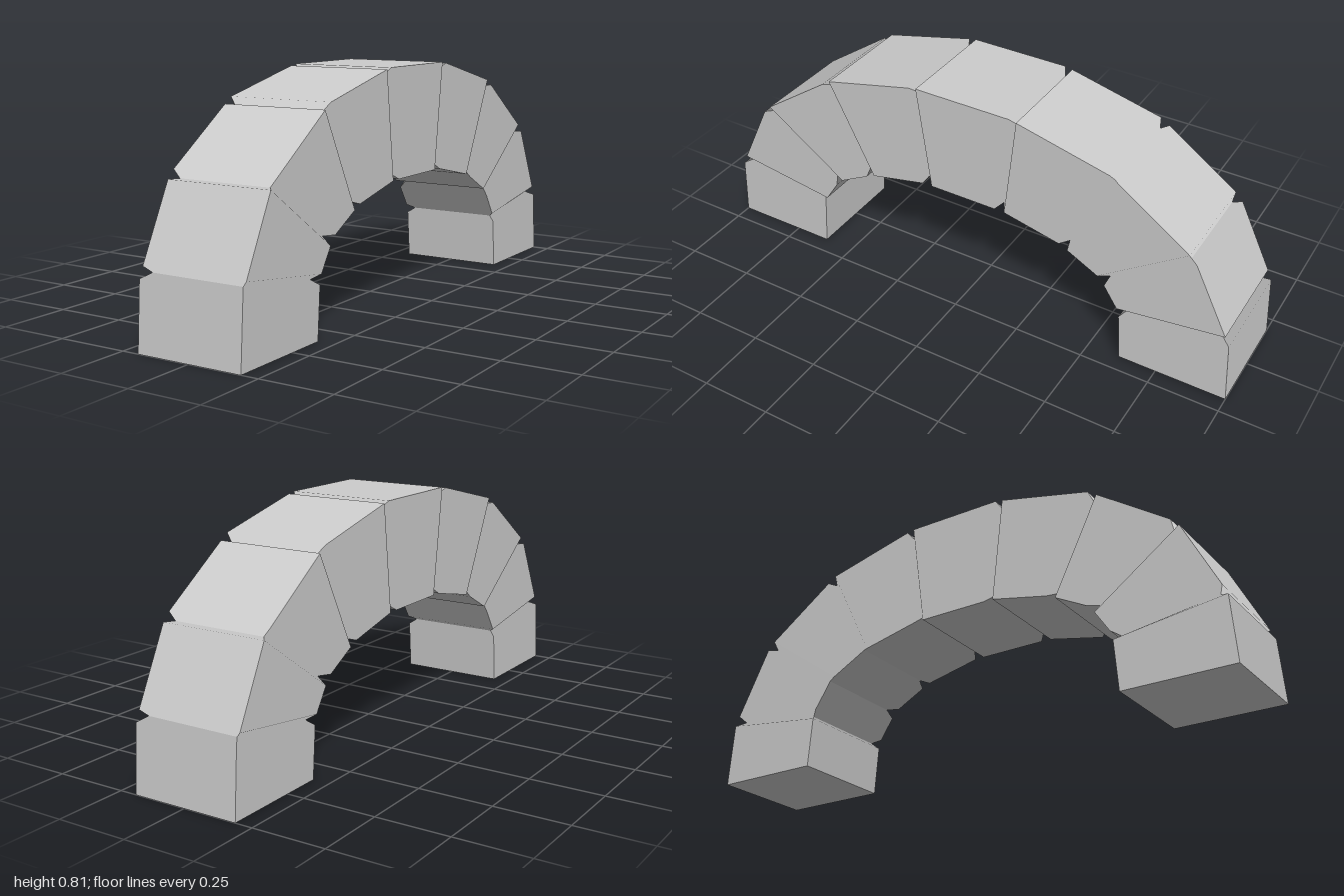
import * as THREE from 'three';

const W = 0.19, GROOVE_W = 0.167; // half widths at the stone faces and in the grooves

// A cross-section of the arch: outer (z, y), inner (z, y), half width
const ring = (oz, oy, iz, iy, w = W) => ({ oz, oy, iz, iy, w });
const flip = (r) => ({ ...r, oz: -r.oz, iz: -r.iz });

// Each joint: rim of the stone before, groove bottom, rim of the stone after
const joint = (before, groove, after) => ({ before: ring(...before), groove: ring(...groove, GROOVE_W), after: ring(...after) });
const foot = { before: ring(1, 0, 0.615, 0), after: ring(1, 0, 0.615, 0) };
const half = [
  foot,
  joint([0.985, 0.225, 0.602, 0.175], [0.953, 0.24, 0.62, 0.192], [0.969, 0.26, 0.593, 0.207]),
  joint([0.848, 0.502, 0.542, 0.285], [0.82, 0.503, 0.553, 0.315], [0.821, 0.53, 0.515, 0.315]),
  joint([0.567, 0.706, 0.402, 0.375], [0.545, 0.7, 0.4, 0.4], [0.536, 0.727, 0.37, 0.39]),
  joint([0.203, 0.807, 0.162, 0.436], [0.19, 0.788, 0.148, 0.458], [0.176, 0.812, 0.125, 0.437]),
];
const mirrored = half.map((j) => ({
  before: flip(j.after), after: flip(j.before), groove: j.groove && flip(j.groove),
})).reverse();

const corners = ({ oz, oy, iz, iy, w }) => [
  new THREE.Vector3(w, oy, oz), new THREE.Vector3(-w, oy, oz),
  new THREE.Vector3(-w, iy, iz), new THREE.Vector3(w, iy, iz),
];

// Wedge-shaped stone; the chamfers keep the normals of the faces they border
function stoneGeometry(start, end) {
  const rings = [start.groove, start.after, end.before, end.groove].filter(Boolean).map(corners);
  const main = start.groove ? 1 : 0;
  const pos = [], nor = [];
  const quad = (pts, n) => {
    for (const i of [0, 1, 2, 0, 2, 3]) {
      pos.push(...pts[i].toArray());
      nor.push(...n.toArray());
    }
  };
  const normalOf = ([a, b, c]) => b.clone().sub(a).cross(c.clone().sub(a)).normalize();
  const side = (s, k) => {
    const m = (k + 1) % 4;
    return [rings[s][m], rings[s][k], rings[s + 1][k], rings[s + 1][m]];
  };
  for (let k = 0; k < 4; k++) {
    const n = normalOf(side(main, k));
    for (let s = 0; s < rings.length - 1; s++) quad(side(s, k), n);
  }
  const caps = [rings[0], [...rings[rings.length - 1]].reverse()];
  for (const cap of caps) quad(cap, normalOf(cap));

  const g = new THREE.BufferGeometry();
  g.setAttribute('position', new THREE.Float32BufferAttribute(pos, 3));
  g.setAttribute('normal', new THREE.Float32BufferAttribute(nor, 3));
  return g;
}

export function createModel() {
  const arch = new THREE.Group();
  arch.name = 'stoneArch';
  const material = new THREE.MeshStandardMaterial({ color: 0xcccccc });
  const joints = [...half, ...mirrored];
  const names = ['footStone', 'lowerStone', 'middleStone', 'upperStone'];

  // Nine stones from the front foot over the keystone to the back foot
  for (let i = 0; i < joints.length - 1; i++) {
    const stone = new THREE.Mesh(stoneGeometry(joints[i], joints[i + 1]), material);
    stone.name = i === 4 ? 'keystone' : (i < 4 ? 'front ' + names[i] : 'back ' + names[8 - i]);
    arch.add(stone);
  }
  return arch;
}
